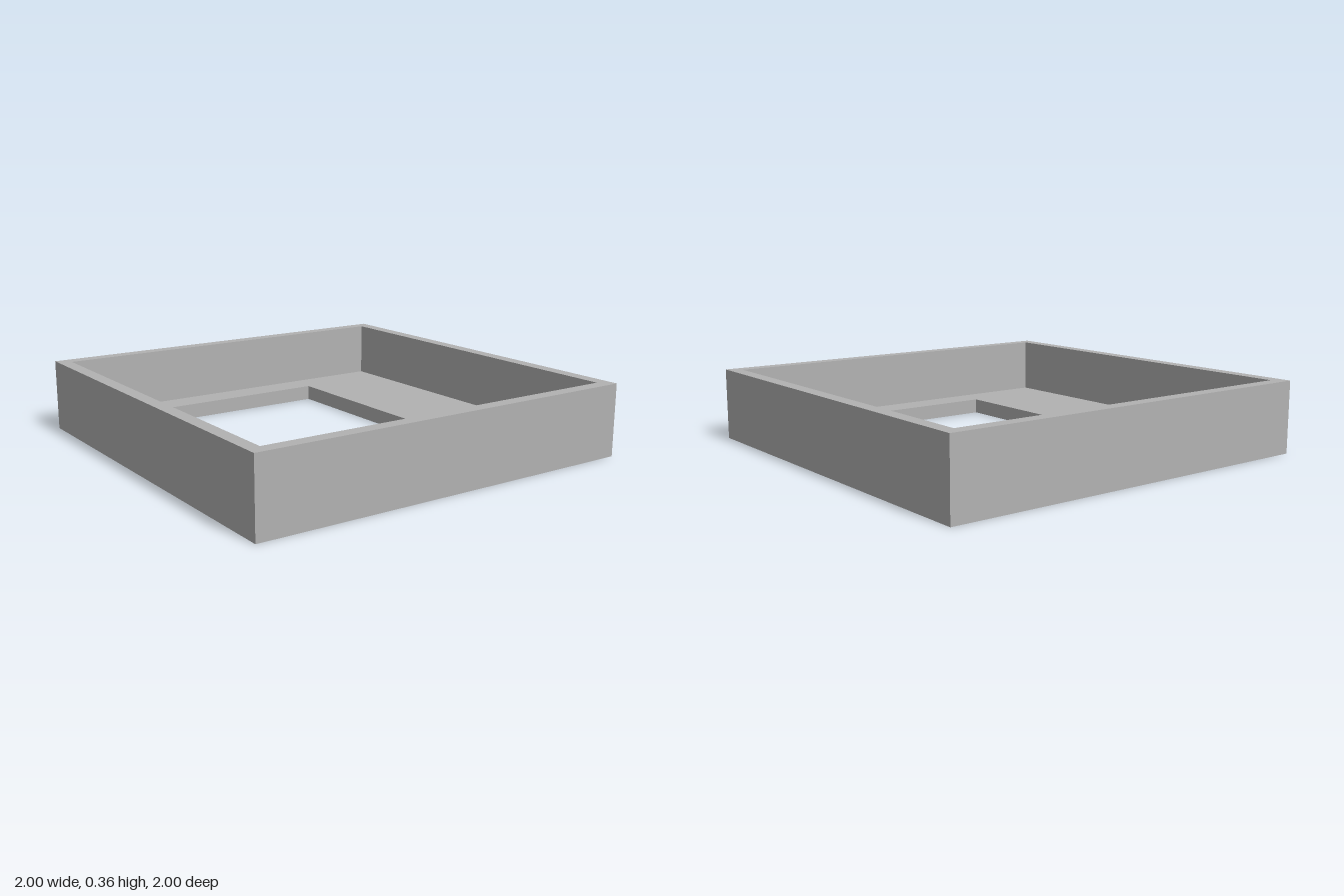
import * as THREE from 'three';

const HEIGHT = 0.36;
const FLOOR = 0.077;

// Rectangular rings [half width x, height y, half depth z], going round the wall section
const RINGS = [
  [1, 0, 1],                // outer bottom edge
  [1, HEIGHT, 1],           // outer rim
  [0.935, HEIGHT, 0.935],   // inner rim
  [0.935, FLOOR, 0.935],    // foot of the inner wall
  [0.44, FLOOR, 0.785],     // upper edge of the opening
  [0.44, 0, 0.785],         // lower edge of the opening
];
const CORNERS = [[1, 1], [1, -1], [-1, -1], [-1, 1]];

// Joins successive rings with flat quads into one closed shell
function ringShell(rings) {
  const positions = [];
  const corner = (i, j) => {
    const [x, y, z] = rings[i % rings.length];
    const [sx, sz] = CORNERS[j % 4];
    return [x * sx, y, z * sz];
  };
  for (let i = 0; i < rings.length; i++) {
    for (let j = 0; j < 4; j++) {
      const a = corner(i, j), b = corner(i, j + 1);
      const c = corner(i + 1, j + 1), d = corner(i + 1, j);
      positions.push(...a, ...b, ...c, ...a, ...c, ...d);
    }
  }
  const geometry = new THREE.BufferGeometry();
  geometry.setAttribute('position', new THREE.Float32BufferAttribute(positions, 3));
  geometry.computeVertexNormals();
  return geometry;
}

export function createModel() {
  const grey = new THREE.MeshStandardMaterial({ color: 0xb2b2b2 });
  grey.name = 'grey';

  // Open square tray with a rectangular opening in its floor
  const tray = new THREE.Mesh(ringShell(RINGS), grey);
  tray.name = 'trayWithOpening';

  const model = new THREE.Group();
  model.name = 'openTray';
  model.add(tray);
  return model;
}
